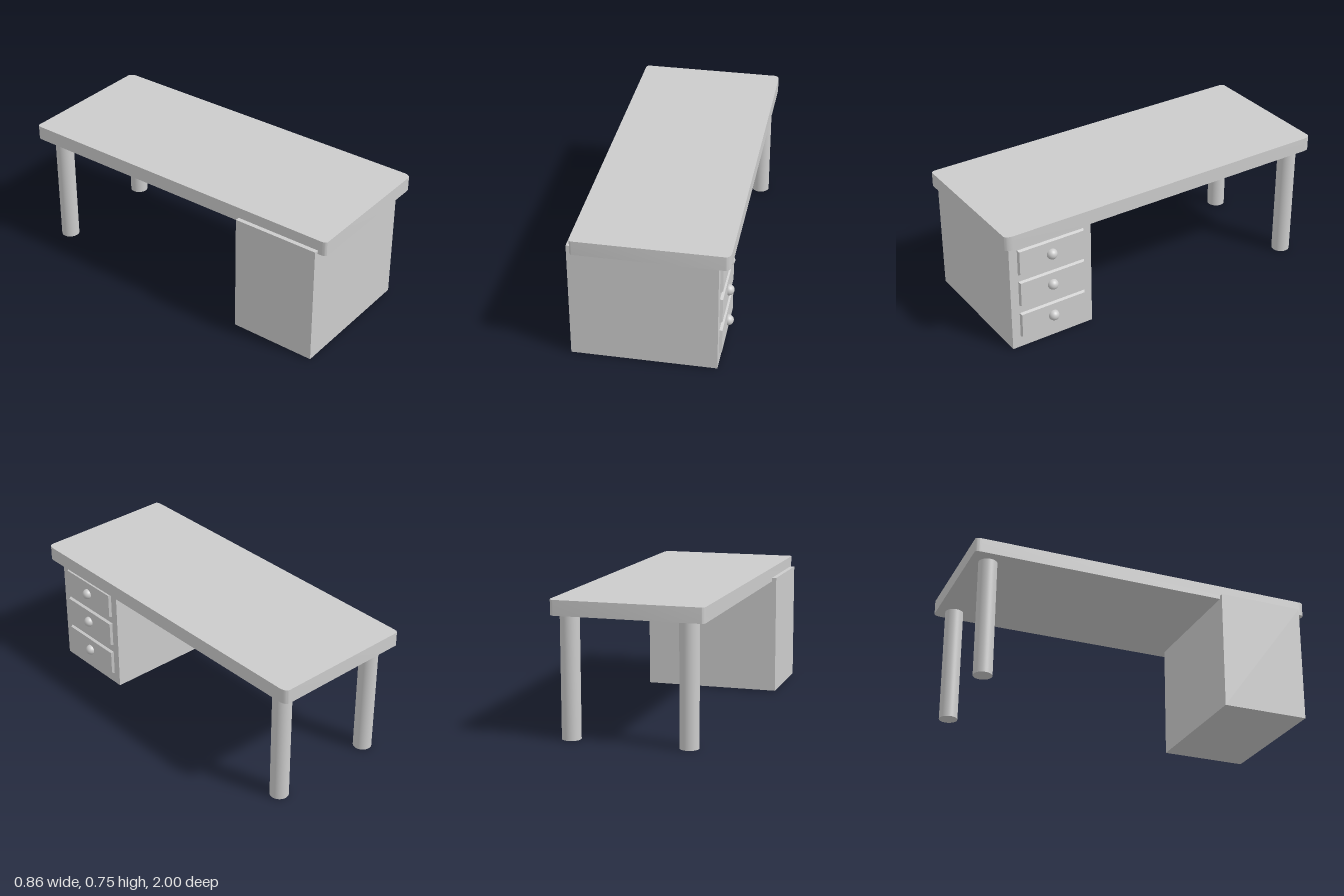
import * as THREE from 'three';
import { toCreasedNormals } from 'three/addons/utils/BufferGeometryUtils.js';

const material = new THREE.MeshStandardMaterial({ color: 0xcccccc });

function addPart(parent, name, geometry, x, y, z) {
  const mesh = new THREE.Mesh(geometry, material);
  mesh.name = name;
  mesh.position.set(x, y, z);
  parent.add(mesh);
  return mesh;
}

// Slab with elliptical rounded corners, broader on the drawer side
function deskTopGeometry(x0, x1, halfLength, thickness) {
  const shape = new THREE.Shape();
  const corners = [
    [x1, halfLength, 0.028, 0.045, 0],
    [x0, halfLength, 0.016, 0.03, 1],
    [x0, -halfLength, 0.016, 0.03, 2],
    [x1, -halfLength, 0.028, 0.045, 3],
  ];
  corners.forEach(([x, y, rx, ry, quarter], i) => {
    const cx = x - Math.sign(x) * rx;
    const cy = y - Math.sign(y) * ry;
    for (let k = 0; k <= 8; k++) {
      const a = (quarter + k / 8) * Math.PI / 2;
      const px = cx + rx * Math.cos(a), py = cy + ry * Math.sin(a);
      if (i === 0 && k === 0) shape.moveTo(px, py);
      else shape.lineTo(px, py);
    }
  });
  shape.closePath();
  const geometry = new THREE.ExtrudeGeometry(shape, { depth: thickness, bevelEnabled: false });
  geometry.rotateX(-Math.PI / 2);
  return toCreasedNormals(geometry, 0.6);
}

// Raised panel whose outer (+x) face is slightly smaller than its base
function drawerGeometry(depth, height, width, inset) {
  const geometry = new THREE.BoxGeometry(depth, height, width);
  const p = geometry.attributes.position;
  for (let i = 0; i < p.count; i++) {
    if (p.getX(i) > 0) {
      p.setY(i, p.getY(i) - Math.sign(p.getY(i)) * inset);
      p.setZ(i, p.getZ(i) - Math.sign(p.getZ(i)) * inset);
    }
  }
  geometry.computeVertexNormals();
  return geometry;
}

export function createModel() {
  const desk = new THREE.Group();
  desk.name = 'desk';

  addPart(desk, 'deskTop', deskTopGeometry(-0.405, 0.428, 1, 0.082), 0, 0.67, 0);

  // Drawer cabinet, protruding slightly behind the top
  const cabinet = new THREE.Group();
  cabinet.name = 'drawerCabinet';
  desk.add(cabinet);
  addPart(cabinet, 'cabinetBody', new THREE.BoxGeometry(0.792, 0.687, 0.5), -0.034, 0.3475, 0.703);

  // Three drawers with round knobs
  const drawers = [[0.144, 0.143], [0.343, 0.342], [0.537, 0.533]];
  drawers.forEach(([y, knobY]) => {
    addPart(cabinet, 'drawerFront', drawerGeometry(0.016, 0.153, 0.405, 0.007), 0.369, y, 0.702);
    addPart(cabinet, 'drawerKnob', new THREE.SphereGeometry(0.03, 32, 20), 0.38, knobY, 0.705);
  });

  // Two round legs at the other end
  for (const x of [-0.297, 0.348]) {
    addPart(desk, 'leg', new THREE.CylinderGeometry(0.052, 0.052, 0.68, 40), x, 0.34, -0.897);
  }

  return desk;
}
